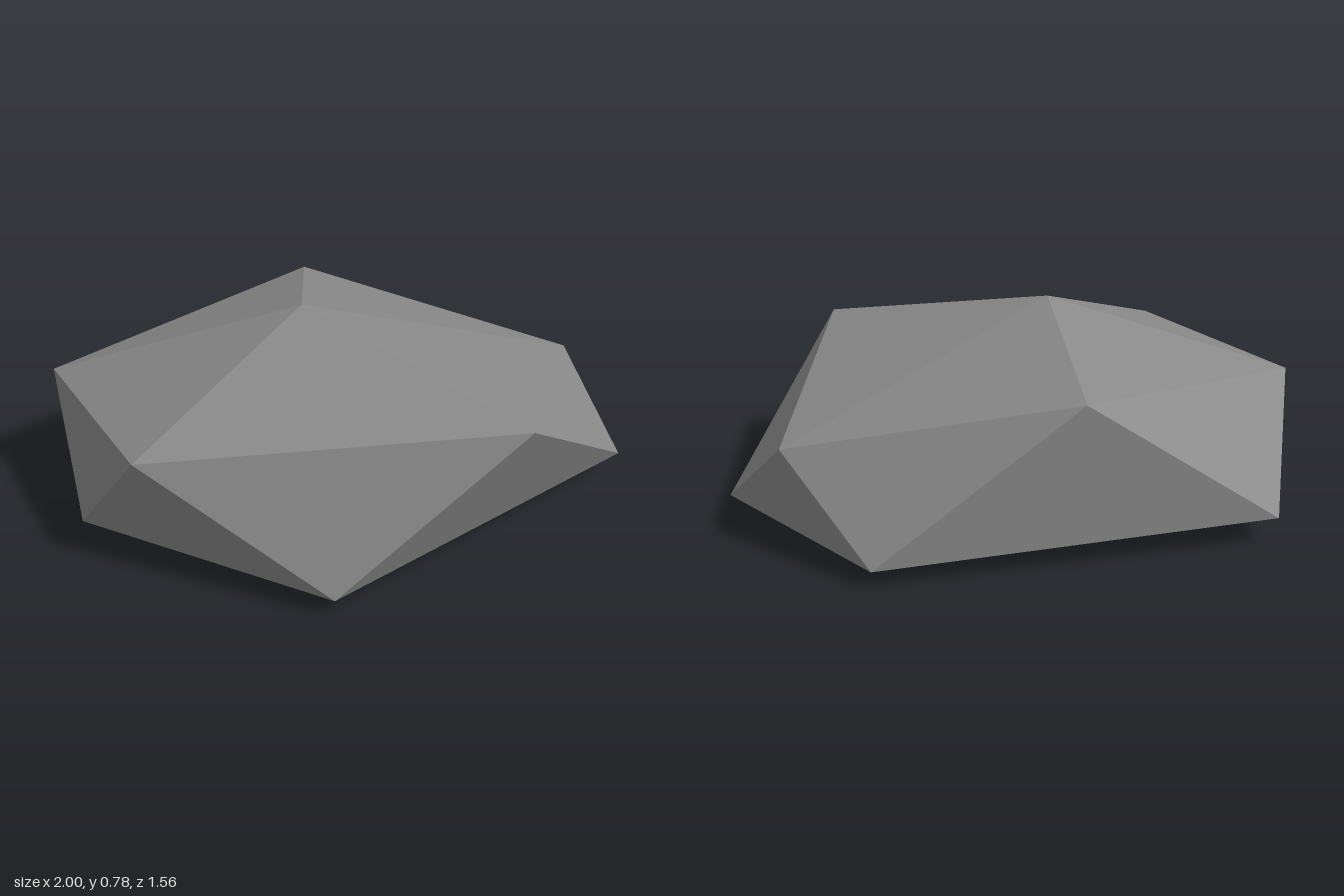
import * as THREE from 'three';

// Faceted boulder: an irregular twenty-sided stone with a peak, two staggered rings and an underside point.
export function createModel() {
  const group = new THREE.Group();
  group.name = 'boulder';

  const peak = [-0.155, 0.78, 0.04];
  const base = [-0.06, 0.02, 0.1];
  // Both rings run counterclockwise seen from above; lower[i] sits between upper[i] and upper[i + 1]
  const upper = [[0.04, 0.6, -0.55], [-1, 0.46, -0.34], [-0.85, 0.5, 0.39], [0.4, 0.6, 0.78], [0.91, 0.4, 0.04]];
  const lower = [[-0.63, 0.11, -0.78], [-1, 0, 0], [-0.285, 0.075, 0.78], [1, 0.095, 0.38], [0.75, 0.065, -0.34]];

  // Cap, two side bands and underside
  const positions = [];
  const face = (a, b, c) => positions.push(...a, ...b, ...c);
  for (let i = 0; i < 5; i++) {
    const j = (i + 1) % 5;
    face(peak, upper[i], upper[j]);
    face(upper[i], lower[i], upper[j]);
    face(lower[i], lower[j], upper[j]);
    face(base, lower[j], lower[i]);
  }

  const geometry = new THREE.BufferGeometry();
  geometry.setAttribute('position', new THREE.Float32BufferAttribute(positions, 3));
  geometry.computeVertexNormals(); // unshared corners keep every facet flat

  const stone = new THREE.MeshStandardMaterial({ color: 0x888888 });
  stone.name = 'stone grey';
  const rock = new THREE.Mesh(geometry, stone);
  rock.name = 'rock';
  group.add(rock);
  return group;
}
